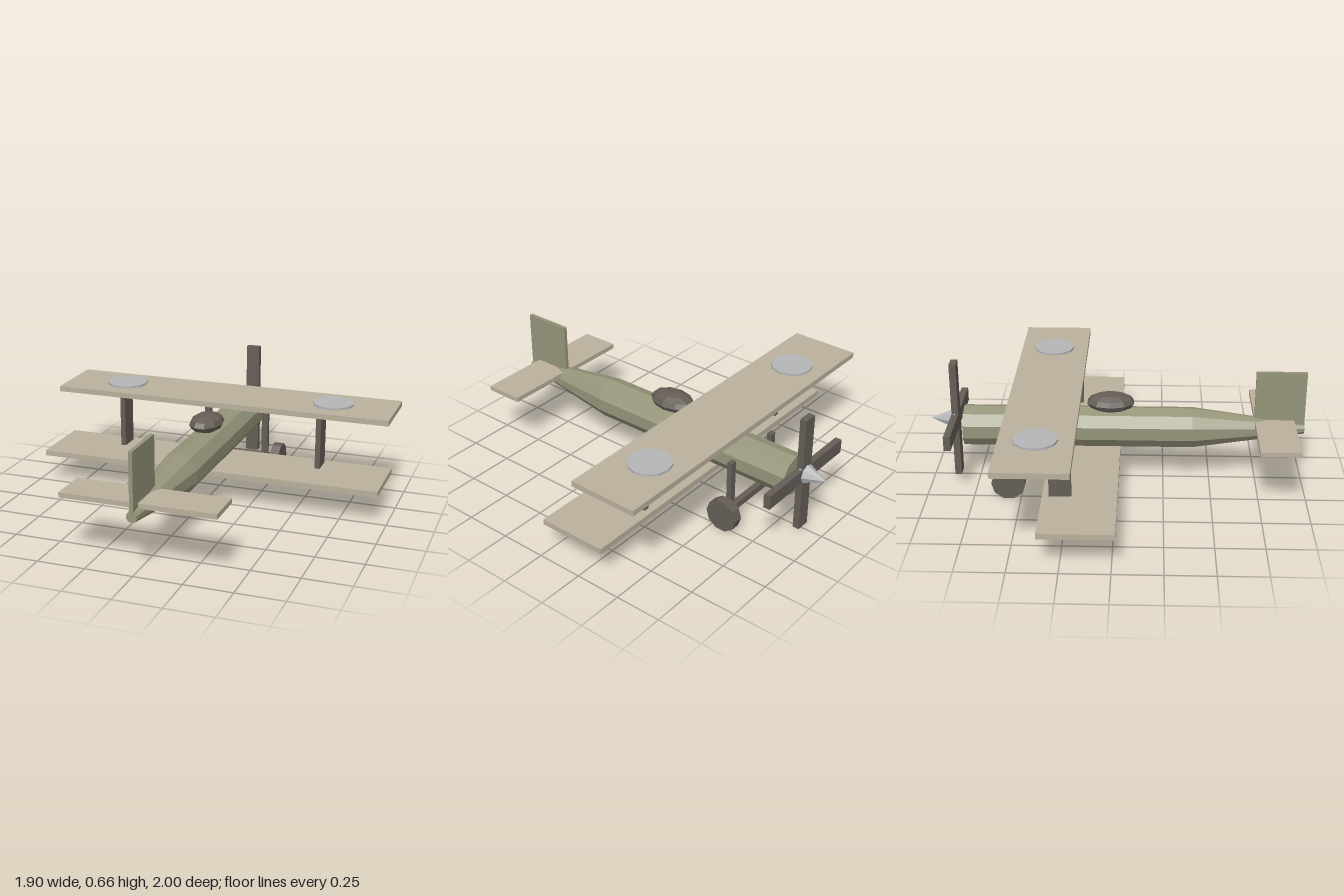
import * as THREE from 'three';

const paint = (color) => new THREE.MeshStandardMaterial({ color, flatShading: true });

export function createModel() {
  const plane = new THREE.Group();
  plane.name = 'biplane';
  const olive = paint(0x96957a), canvas = paint(0xbab09c), dark = paint(0x655e57), silver = paint(0xb4b6b8);

  const add = (name, geometry, material, x, y, z) => {
    const mesh = new THREE.Mesh(geometry, material);
    mesh.name = name;
    mesh.position.set(x, y, z);
    plane.add(mesh);
    return mesh;
  };
  // box given by its size and centre
  const box = (name, material, w, h, d, x, y, z) =>
    add(name, new THREE.BoxGeometry(w, h, d), material, x, y, z);

  // ten-sided fuselage, nose toward -z, tapering to the tail
  const profile = [[0, -0.82], [0.11, -0.82], [0.11, 0.4], [0.028, 1], [0, 1]]
    .map(([r, z]) => new THREE.Vector2(r, z));
  add('fuselage', new THREE.LatheGeometry(profile, 10).rotateX(Math.PI / 2), olive, 0, 0.3, 0);

  // staggered wings
  box('upperWing', canvas, 1.9, 0.03, 0.376, 0, 0.49, -0.377);
  box('lowerWing', canvas, 1.9, 0.03, 0.376, 0, 0.17, -0.17);

  // tail surfaces
  box('tailplane', canvas, 0.8, 0.026, 0.21, 0, 0.338, 0.84);
  box('fin', olive, 0.02, 0.3, 0.267, 0, 0.473, 0.8665);

  // cockpit bulge
  add('cockpit', new THREE.SphereGeometry(1, 10, 6).scale(0.09, 0.05, 0.13), dark, 0, 0.443, -0.034);

  // propeller and spinner
  box('propellerBlade', dark, 0.076, 0.645, 0.036, 0, 0.337, -0.867);
  box('propellerBlade', dark, 0.645, 0.076, 0.036, 0, 0.337, -0.867);
  add('spinner', new THREE.ConeGeometry(0.06, 0.134, 8).rotateX(-Math.PI / 2), silver, 0, 0.337, -0.933);

  // undercarriage axle
  box('axle', dark, 0.48, 0.035, 0.034, 0, 0.092, -0.568);

  // mirrored parts
  for (const side of [-1, 1]) {
    box('wingStrut', dark, 0.028, 0.3, 0.112, side * 0.57, 0.33, -0.268);
    add('wingDisc', new THREE.CylinderGeometry(0.113, 0.113, 0.012, 12), silver, side * 0.608, 0.511, -0.38);
    box('gearStrut', dark, 0.036, 0.282, 0.028, side * 0.174, 0.217, -0.551);
    add('wheel', new THREE.CylinderGeometry(0.09, 0.09, 0.052, 10).rotateZ(Math.PI / 2),
      dark, side * 0.248, 0.0856, -0.565);
  }
  return plane;
}
